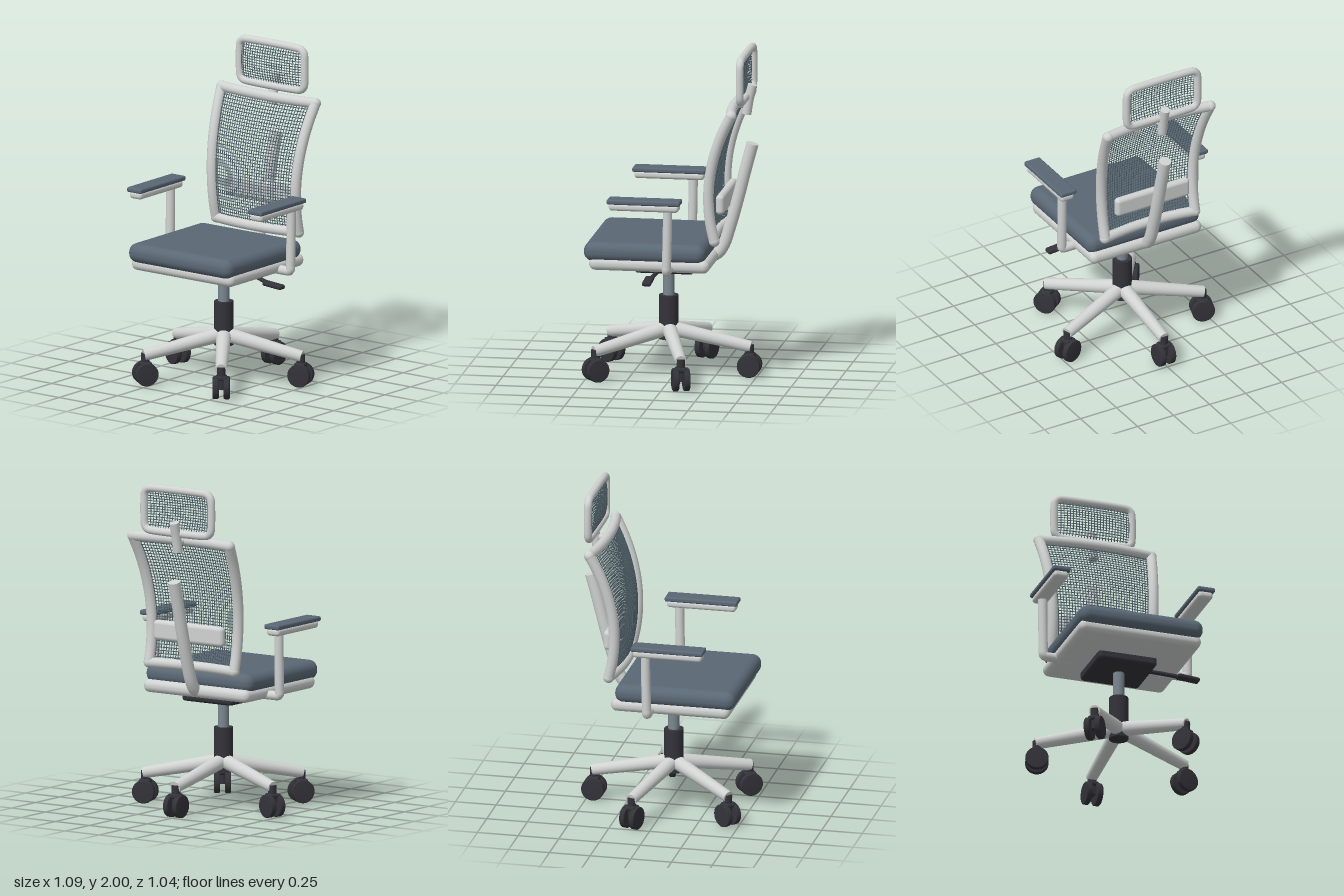
import * as THREE from 'three';
import { mergeGeometries } from 'three/addons/utils/BufferGeometryUtils.js';
import { RoundedBoxGeometry } from 'three/addons/geometries/RoundedBoxGeometry.js';

const V = (x, y, z) => new THREE.Vector3(x, y, z);

function mat(name, color) {
  const m = new THREE.MeshStandardMaterial({ color });
  m.name = name;
  return m;
}

export function createModel() {
  const frame = mat('light grey plastic', 0xd0d2d2);
  const fabric = mat('slate blue fabric', 0x5a6875);
  const dark = mat('dark plastic', 0x33333a);
  const netting = mat('blue grey netting', 0x556770);
  const steel = mat('blue grey steel', 0x7a8790);

  const model = new THREE.Group();
  model.name = 'officeChair';

  function add(name, geometry, material, parent = model) {
    const mesh = new THREE.Mesh(geometry, material);
    mesh.name = name;
    parent.add(mesh);
    return mesh;
  }
  function box(name, size, pos, radius, material, parent) {
    const mesh = add(name, new RoundedBoxGeometry(...size, 4, radius), material, parent);
    mesh.position.set(...pos);
    return mesh;
  }
  // straight, optionally tapered rod from a to b
  function rod(name, a, b, ra, rb, material, parent) {
    const dir = b.clone().sub(a);
    const mesh = add(name, new THREE.CylinderGeometry(rb, ra, dir.length(), 28), material, parent);
    mesh.position.copy(a).add(b).multiplyScalar(0.5);
    mesh.quaternion.setFromUnitVectors(V(0, 1, 0), dir.normalize());
    return mesh;
  }
  const tubeGeo = (pts, r, segs, sides, closed = false) =>
    new THREE.TubeGeometry(new THREE.CatmullRomCurve3(pts, closed, 'centripetal'), segs, r, sides, closed);
  // tube with flat end caps
  function cappedTube(name, pts, r, segs, material, parent) {
    add(name, tubeGeo(pts, r, segs, 20), material, parent);
    const n = pts.length - 1;
    [[pts[0], pts[1]], [pts[n], pts[n - 1]]].forEach(([end, next]) => {
      const cap = add(name + 'End', new THREE.CircleGeometry(r, 20), material, parent);
      cap.position.copy(end);
      cap.quaternion.setFromUnitVectors(V(0, 0, 1), end.clone().sub(next).normalize());
    });
  }
  // n + 1 points of a curve f over 0..1
  const line = (f, n) => Array.from({ length: n + 1 }, (_, i) => f(i / n));
  // woven net over a surface point(u, t), u in -1..1, t in 0..1
  function net(name, point, columns, rows, r, parent) {
    const strands = [];
    for (let i = 1; i < columns; i++)
      strands.push(tubeGeo(line(s => point(-1 + 2 * i / columns, s), 10), r, 14, 4));
    for (let j = 1; j < rows; j++)
      strands.push(tubeGeo(line(s => point(2 * s - 1, j / rows), 10), r, 12, 4));
    add(name, mergeGeometries(strands), netting, parent);
  }

  // five-spoke base with twin-wheel casters
  const base = new THREE.Group();
  base.name = 'base';
  base.position.z = 0.035;
  model.add(base);
  const rim = [[0, -0.018], [0.064, -0.018], [0.07, -0.013], [0.07, 0.013], [0.064, 0.018], [0, 0.018]]
    .map(p => new THREE.Vector2(...p));
  for (let i = 0; i < 5; i++) {
    const spoke = new THREE.Group();
    spoke.name = 'spoke';
    spoke.rotation.y = Math.PI + i * Math.PI * 2 / 5;
    base.add(spoke);
    rod('leg', V(0, 0.28, 0.01), V(0, 0.182, 0.498), 0.045, 0.035, frame, spoke);
    rod('casterStem', V(0, 0.06, 0.49), V(0, 0.195, 0.49), 0.026, 0.026, dark, spoke);
    box('casterHood', [0.07, 0.03, 0.07], [0, 0.13, 0.49], 0.012, dark, spoke);
    rod('axle', V(-0.03, 0.07, 0.49), V(0.03, 0.07, 0.49), 0.015, 0.015, dark, spoke);
    for (const s of [-1, 1]) {
      const wheel = add('wheel', new THREE.LatheGeometry(rim, 28), dark, spoke);
      wheel.rotation.z = Math.PI / 2;
      wheel.position.set(s * 0.033, 0.07, 0.49);
    }
  }
  rod('hub', V(0, 0.215, 0), V(0, 0.485, 0), 0.058, 0.058, dark, base);
  rod('gasLift', V(0, 0.48, 0), V(0, 0.67, 0), 0.034, 0.034, steel, base);

  // tilt mechanism and lever
  box('mechanism', [0.37, 0.07, 0.36], [0, 0.683, 0.035], 0.022, dark);
  cappedTube('lever', [V(0.16, 0.685, 0.05), V(0.26, 0.678, 0.06), V(0.37, 0.66, 0.085)], 0.013, 16, dark);
  const paddle = box('leverPaddle', [0.14, 0.028, 0.056], [0.42, 0.655, 0.09], 0.013, dark);
  paddle.rotation.z = -0.08;

  // seat
  box('seatPan', [0.77, 0.08, 0.73], [0, 0.738, 0.095], 0.038, frame);
  box('seatCushion', [0.78, 0.118, 0.74], [0, 0.809, 0.123], 0.055, fabric);

  // armrests
  for (const s of [-1, 1]) {
    const arm = new THREE.Group();
    arm.name = s > 0 ? 'leftArmrest' : 'rightArmrest';
    model.add(arm);
    cappedTube('armPost', [V(s * 0.28, 0.722, -0.027), V(s * 0.42, 0.722, -0.027), V(s * 0.446, 0.723, -0.027),
      V(s * 0.455, 0.732, -0.027), V(s * 0.456, 0.76, -0.028), V(s * 0.457, 0.95, -0.033), V(s * 0.458, 1.11, -0.035)], 0.028, 56, frame, arm);
    box('armSupport', [0.092, 0.046, 0.424], [s * 0.457, 1.118, 0.106], 0.02, frame, arm);
    box('armPad', [0.11, 0.03, 0.444], [s * 0.457, 1.15, 0.106], 0.011, fabric, arm);
  }

  // backrest: a surface curved in both directions, rimmed by tubes
  const back = new THREE.Group();
  back.name = 'backrest';
  model.add(back);
  const backPoint = (u, t) => V(u * (0.312 + 0.043 * t * t), 0.89 + 0.78 * t,
    -0.259 - 0.32 * (t - 0.33) ** 2 + 0.033 * (1 - u * u));
  for (const s of [-1, 1]) {
    add('backSideRail', tubeGeo(line(k => backPoint(s, k), 8), 0.032, 40, 20), frame, back);
    for (const t of [0, 1]) {
      const corner = add('backCorner', new THREE.SphereGeometry(0.033, 20, 14), frame, back);
      corner.position.copy(backPoint(s, t));
    }
  }
  for (const t of [0, 1])
    add(t ? 'backTopRail' : 'backBottomRail', tubeGeo(line(k => backPoint(2 * k - 1, t), 8), 0.031, 32, 20), frame, back);
  net('backNet', backPoint, 37, 42, 0.0028, back);

  // spine and lumbar support
  cappedTube('spine', [V(0, 0.735, -0.2), V(0, 0.745, -0.255), V(0, 0.8, -0.297), V(0, 0.92, -0.338),
    V(0, 1.1, -0.388), V(0, 1.27, -0.431), V(0, 1.43, -0.474)], 0.037, 48, frame, back);
  box('lumbarSupport', [0.51, 0.122, 0.052], [0, 1.098, -0.316], 0.025, frame, back);

  // headrest
  const head = new THREE.Group();
  head.name = 'headrest';
  model.add(head);
  const hw = 0.245, hh = 0.128, cr = 0.045, hy = 1.85, hz = -0.437;
  const loop = [];
  for (const [sx, sy, a0] of [[1, 1, 0], [-1, 1, 1], [-1, -1, 2], [1, -1, 3]])
    for (let i = 0; i <= 4; i++) {
      const a = (a0 + i / 4) * Math.PI / 2;
      loop.push(V(sx * (hw - cr) + cr * Math.cos(a), hy + sy * (hh - cr) + cr * Math.sin(a), hz));
    }
  add('headrestFrame', tubeGeo(loop, 0.0235, 120, 18, true), frame, head);
  net('headrestNet', (u, t) => V(u * hw, hy + (2 * t - 1) * hh,
    hz + 0.03 * (1 - u ** 4) * (1 - (2 * t - 1) ** 2)), 26, 16, 0.0028, head);
  cappedTube('headrestBracket', [V(0, 1.61, -0.437), V(0, 1.7, -0.452), V(0, 1.79, -0.474)], 0.029, 16, frame, head);
  rod('headrestJoint', V(0, 1.665, -0.38), V(0, 1.665, -0.44), 0.02, 0.02, frame, head);

  return model;
}
